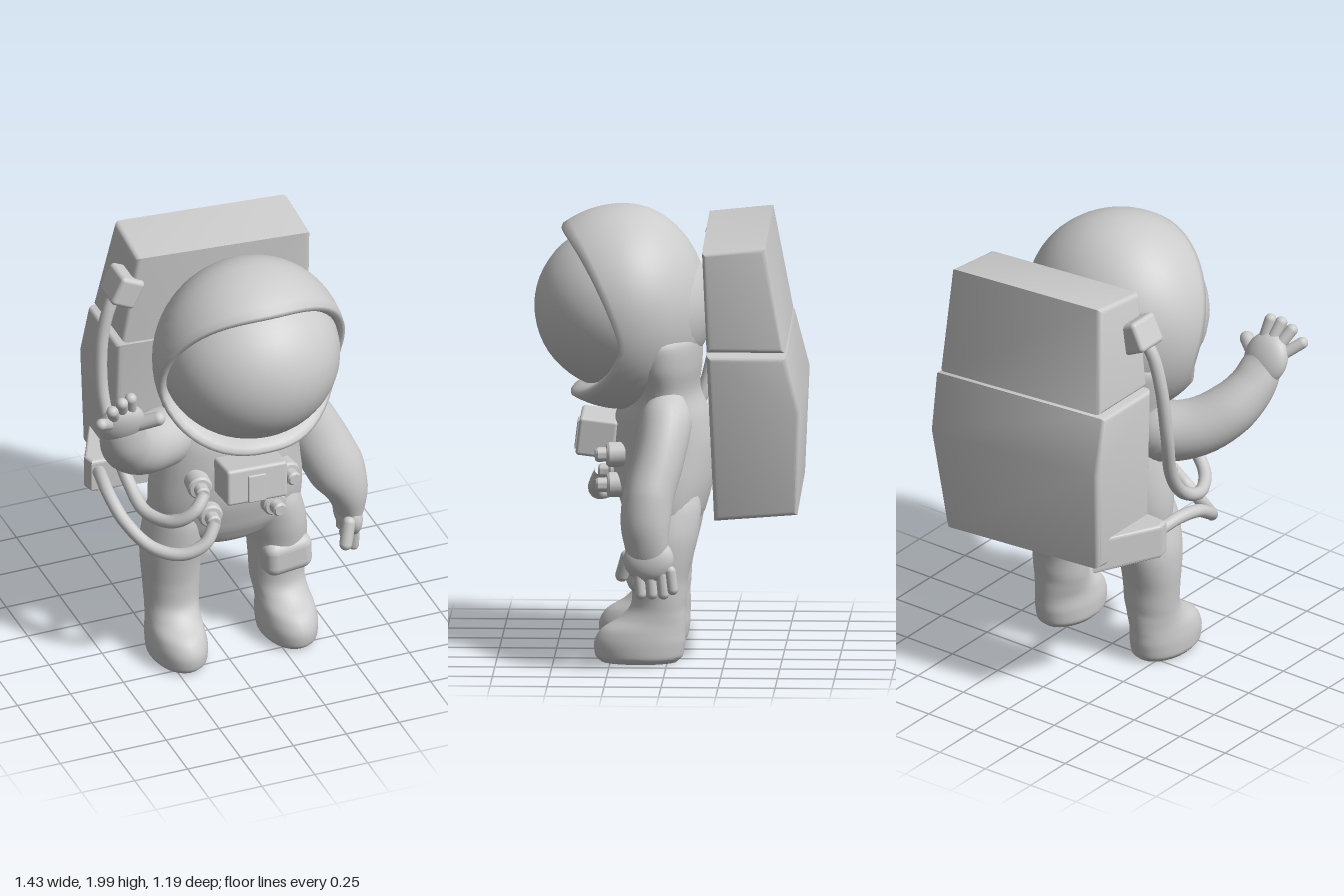
import * as THREE from 'three';
import { toCreasedNormals } from 'three/addons/utils/BufferGeometryUtils.js';
import { RoundedBoxGeometry } from 'three/addons/geometries/RoundedBoxGeometry.js';

const V = (x, y, z) => new THREE.Vector3(x, y, z);
const material = new THREE.MeshStandardMaterial({ color: 0xcccccc, roughness: 0.7 });

function part(parent, name, geometry, pos = [0, 0, 0], rot = [0, 0, 0]) {
  const mesh = new THREE.Mesh(geometry, material);
  mesh.name = name;
  mesh.position.set(...pos);
  mesh.rotation.set(...rot);
  parent.add(mesh);
  return mesh;
}

// Closed skin over a list of rings, with both ends capped
function loft(rings, crease = 1.0) {
  const n = rings[0].length, pos = [], index = [];
  rings.forEach(r => r.forEach(p => pos.push(p.x, p.y, p.z)));
  for (let i = 0; i < rings.length - 1; i++) {
    for (let j = 0; j < n; j++) {
      const a = i * n + j, b = i * n + (j + 1) % n;
      index.push(a, b, a + n, b, b + n, a + n);
    }
  }
  [0, rings.length - 1].forEach((row, end) => {
    const c = rings[row].reduce((s, p) => s.add(p), V(0, 0, 0)).divideScalar(n);
    const k = pos.length / 3;
    pos.push(c.x, c.y, c.z);
    for (let j = 0; j < n; j++) {
      const a = row * n + j, b = row * n + (j + 1) % n;
      end ? index.push(a, b, k) : index.push(b, a, k);
    }
  });
  const g = new THREE.BufferGeometry();
  g.setAttribute('position', new THREE.Float32BufferAttribute(pos, 3));
  g.setIndex(index);
  return toCreasedNormals(g, crease);
}

// Smooth limb through rows of [x, y, z, radiusU, radiusW]; flat keeps the rings level
function limb(rows, { flat = false, ref = V(1, 0, 0), steps = 28, sides = 28 } = {}) {
  const path = new THREE.CatmullRomCurve3(rows.map(r => V(r[0], r[1], r[2])));
  const radii = new THREE.CatmullRomCurve3(rows.map(r => V(r[3], r[4], 0)));
  const rings = [];
  for (let i = 0; i <= steps; i++) {
    const c = path.getPoint(i / steps), r = radii.getPoint(i / steps);
    const t = flat ? V(0, 1, 0) : path.getTangent(i / steps);
    const u = ref.clone().addScaledVector(t, -ref.dot(t)).normalize();
    const w = t.clone().cross(u);
    rings.push(Array.from({ length: sides }, (_, j) => {
      const a = j / sides * Math.PI * 2;
      return c.clone().addScaledVector(u, r.x * Math.cos(a)).addScaledVector(w, r.y * Math.sin(a));
    }));
  }
  return loft(rings);
}

// Round-ended finger from a to b
function finger(parent, name, a, b, r) {
  const p = V(...a), q = V(...b), d = q.clone().sub(p);
  const m = part(parent, name, new THREE.CapsuleGeometry(r, d.length(), 6, 12));
  m.position.copy(p).add(q).multiplyScalar(0.5);
  m.quaternion.setFromUnitVectors(V(0, 1, 0), d.normalize());
}

function ellipsoid(parent, name, pos, scale, rot) {
  part(parent, name, new THREE.SphereGeometry(1, 40, 28), pos, rot).scale.set(...scale);
}

// Helmet shell: an ellipsoid cut by a curved rim, with a rounded lip turned in to the visor
function helmetGeometry() {
  const n = 56, steps = 24, rings = [];
  const at = (phi, f, scale = 1, dz = 0) => {
    const s = Math.sin(phi), c = Math.cos(phi), k = s + 0.3;
    const rim = k > 0 ? 0.27 * (k / 1.3) ** 1.3 : 0.23 * (-k / 0.7) ** 1.5;
    const th = Math.PI - (Math.PI - Math.acos(rim / 0.45)) * f;
    const cz = Math.cos(th), r = Math.sin(th) * scale;
    const cx = s < 0 ? Math.sign(c) * Math.abs(c) ** 0.82 : c;
    return V(0.115 + 0.435 * r * cx, 1.55 + 0.45 * r * s, 0.2 + (cz > 0 ? 0.45 : 0.37) * cz + dz);
  };
  const ring = (...args) => rings.push(Array.from({ length: n }, (_, j) => at(j / n * Math.PI * 2, ...args)));
  for (let i = 1; i <= steps; i++) ring(i / steps);
  ring(1, 0.965, 0.003);
  ring(1, 0.92, -0.01);
  ring(1, 0.875, -0.04);
  ring(1, 0.79, -0.12);
  return loft(rings, 1.5);
}

// Backpack block: side profile of [z, y] extruded across x, its half width varying with height
function packBlock(profile, halfWidth) {
  const bevel = 0.024;
  const shape = new THREE.Shape(profile.map(([z, y]) => new THREE.Vector2(-z, y)));
  const g = new THREE.ExtrudeGeometry(shape, {
    depth: 2 - 2 * bevel / 0.45, bevelSize: bevel, bevelOffset: -bevel,
    bevelThickness: bevel / 0.45, bevelSegments: 4
  });
  g.translate(0, 0, -1 + bevel / 0.45).rotateY(Math.PI / 2);
  const p = g.attributes.position;
  for (let i = 0; i < p.count; i++) p.setX(i, p.getX(i) * halfWidth(p.getY(i)));
  return toCreasedNormals(g, 0.6);
}

export function createModel() {
  const model = new THREE.Group();
  model.name = 'astronaut';

  // Head
  part(model, 'helmet', helmetGeometry());
  ellipsoid(model, 'visor', [0.115, 1.55, 0.2], [0.4, 0.372, 0.393]);

  // Body, running up into the back of the helmet
  part(model, 'torso', limb([
    [0.065, 0.53, 0.03, 0.1, 0.06], [0.065, 0.56, 0.03, 0.24, 0.13], [0.07, 0.64, 0.025, 0.345, 0.18],
    [0.07, 0.8, 0.025, 0.355, 0.22], [0.075, 0.95, 0.025, 0.34, 0.225], [0.09, 1.08, 0.03, 0.33, 0.205],
    [0.105, 1.19, 0.03, 0.32, 0.165], [0.115, 1.31, 0.04, 0.355, 0.185], [0.115, 1.42, 0.05, 0.37, 0.195],
    [0.115, 1.5, 0.07, 0.3, 0.17]
  ], { flat: true, sides: 40, steps: 40 }));

  // Legs with boots
  [['rightLeg', -0.19, -1], ['leftLeg', 0.31, 1]].forEach(([name, x, s]) => {
    part(model, name, limb([
      [x + s * 0.01, 0.005, 0.125, 0.105, 0.165], [x + s * 0.01, 0.03, 0.125, 0.125, 0.192],
      [x + s * 0.01, 0.09, 0.122, 0.128, 0.2], [x + s * 0.01, 0.15, 0.105, 0.122, 0.185],
      [x + s * 0.005, 0.2, 0.065, 0.118, 0.145], [x, 0.26, 0.04, 0.122, 0.12],
      [x, 0.36, 0.035, 0.128, 0.122], [x, 0.47, 0.03, 0.134, 0.142],
      [x - s * 0.01, 0.57, 0.027, 0.138, 0.162], [x - s * 0.025, 0.68, 0.025, 0.125, 0.17],
      [x - s * 0.04, 0.78, 0.025, 0.1, 0.15]
    ], { flat: true, steps: 44 }));
  });
  part(model, 'thighPouch', new RoundedBoxGeometry(0.23, 0.17, 0.14, 5, 0.05), [0.32, 0.405, 0.11], [0, 0.1, 0.03]);

  // Lowered left arm
  part(model, 'leftArm', limb([
    [0.33, 1.16, 0.0, 0.08, 0.08], [0.41, 1.08, 0.005, 0.125, 0.115], [0.49, 0.94, 0.03, 0.132, 0.112],
    [0.57, 0.77, 0.075, 0.13, 0.112], [0.615, 0.66, 0.085, 0.1, 0.108], [0.63, 0.57, 0.08, 0.072, 0.095],
    [0.635, 0.49, 0.075, 0.045, 0.08]
  ]));
  const leftHand = new THREE.Group();
  leftHand.name = 'leftHand';
  model.add(leftHand);
  ellipsoid(leftHand, 'leftPalm', [0.632, 0.51, 0.07], [0.056, 0.1, 0.11], [0, 0, 0.1]);
  [0.115, 0.065, 0.015, -0.025].forEach((z, i) =>
    finger(leftHand, 'leftFinger', [0.645, 0.46, z], [0.645, 0.36 + (i === 3 ? 0.02 : 0), z - 0.01], 0.025));
  finger(leftHand, 'leftThumb', [0.6, 0.52, 0.165], [0.575, 0.43, 0.19], 0.029);

  // Raised right arm
  part(model, 'rightArm', limb([
    [-0.12, 1.11, 0.03, 0.1, 0.1], [-0.24, 1.115, 0.065, 0.135, 0.135], [-0.37, 1.15, 0.145, 0.13, 0.13],
    [-0.47, 1.23, 0.235, 0.12, 0.12], [-0.525, 1.32, 0.31, 0.105, 0.1], [-0.55, 1.41, 0.355, 0.095, 0.07],
    [-0.565, 1.48, 0.38, 0.07, 0.045]
  ], { ref: V(1, 0.3, 0) }));
  const rightHand = new THREE.Group();
  rightHand.name = 'rightHand';
  model.add(rightHand);
  ellipsoid(rightHand, 'rightPalm', [-0.56, 1.45, 0.375], [0.107, 0.12, 0.06], [0.4, 0, 0.2]);
  [[-0.63, 1.48, -0.69, 1.53, 0.465], [-0.605, 1.51, -0.637, 1.58, 0.46],
    [-0.57, 1.53, -0.587, 1.605, 0.45], [-0.53, 1.53, -0.54, 1.61, 0.435]].forEach(([x, y, tx, ty, tz]) =>
    finger(rightHand, 'rightFinger', [x, y, 0.405], [tx, ty, tz], 0.027));
  finger(rightHand, 'rightThumb', [-0.5, 1.43, 0.38], [-0.41, 1.475, 0.435], 0.032);

  // Chest control box and valves
  const box = new THREE.Group();
  box.name = 'controlBox';
  box.position.set(0.075, 0.98, 0.315);
  box.rotation.set(-0.12, 0, -0.04);
  model.add(box);
  part(box, 'controlBoxBody', new RoundedBoxGeometry(0.285, 0.17, 0.17, 3, 0.015));
  part(box, 'controlBoxPlate', new RoundedBoxGeometry(0.085, 0.13, 0.02, 2, 0.006), [-0.005, -0.015, 0.085]);

  const valves = [[-0.14, 0.94], [0.275, 0.915], [-0.09, 0.78], [0.21, 0.77]];
  const valveProfile = [[0, -0.06], [0.055, -0.06], [0.055, 0.01], [0.047, 0.02], [0.032, 0.022],
    [0.032, 0.06], [0.025, 0.07], [0, 0.07]].map(p => new THREE.Vector2(...p));
  const valveGeometry = toCreasedNormals(new THREE.LatheGeometry(valveProfile, 24), 0.6);
  valves.forEach(([x, y]) =>
    part(model, 'valve', valveGeometry, [x, y, 0.25], [Math.PI / 2, 0, (0.07 - x) * 0.6]));

  // Air hoses
  [[[-0.14, 0.94, 0.31], [-0.2, 0.88, 0.34], [-0.28, 0.82, 0.3], [-0.36, 0.81, 0.16], [-0.38, 0.88, 0.01],
    [-0.4, 1.02, -0.1], [-0.43, 1.25, -0.17], [-0.42, 1.5, -0.2], [-0.38, 1.66, -0.21], [-0.33, 1.74, -0.22]],
  [[-0.09, 0.78, 0.31], [-0.15, 0.7, 0.34], [-0.25, 0.655, 0.32], [-0.36, 0.67, 0.24], [-0.44, 0.75, 0.12],
    [-0.465, 0.82, 0], [-0.45, 0.83, -0.12], [-0.42, 0.8, -0.25]]].forEach(points => {
    const curve = new THREE.CatmullRomCurve3(points.map(p => V(...p)));
    part(model, 'airHose', new THREE.TubeGeometry(curve, 80, 0.029, 14));
  });

  // Backpack, leaning slightly to one side
  const pack = new THREE.Group();
  pack.name = 'backpack';
  pack.position.set(0.1, 1.3, 0);
  pack.rotation.z = -0.07;
  model.add(pack);
  part(pack, 'upperPack', packBlock(
    [[-0.16, 1.885], [-0.18, 1.445], [-0.525, 1.445], [-0.44, 1.915]],
    y => 0.445 - 0.035 * (y - 1.44) / 0.47), [0, -1.3, 0]);
  part(pack, 'lowerPack', packBlock(
    [[-0.18, 1.435], [-0.21, 0.68], [-0.575, 0.71], [-0.595, 1.18], [-0.53, 1.435]],
    y => 0.465 - 0.045 * Math.max(0, (1.2 - y) / 0.5)), [0, -1.3, 0]);

  // Hose mounts on the side of the pack
  part(model, 'upperHoseMount', new RoundedBoxGeometry(0.12, 0.14, 0.16, 3, 0.02), [-0.315, 1.75, -0.22], [0, 0, -0.45]);
  const wedge = new THREE.Shape([[-0.33, 0.22], [-0.33, 0.55], [-0.46, 0.27], [-0.45, 0.23]].map(p => new THREE.Vector2(...p)));
  part(model, 'lowerHoseMount', new THREE.ExtrudeGeometry(wedge, { depth: 0.13, bevelSize: 0.015, bevelThickness: 0.015, bevelSegments: 3 })
    .rotateX(-Math.PI / 2), [0, 0.72, 0]);

  return model;
}
